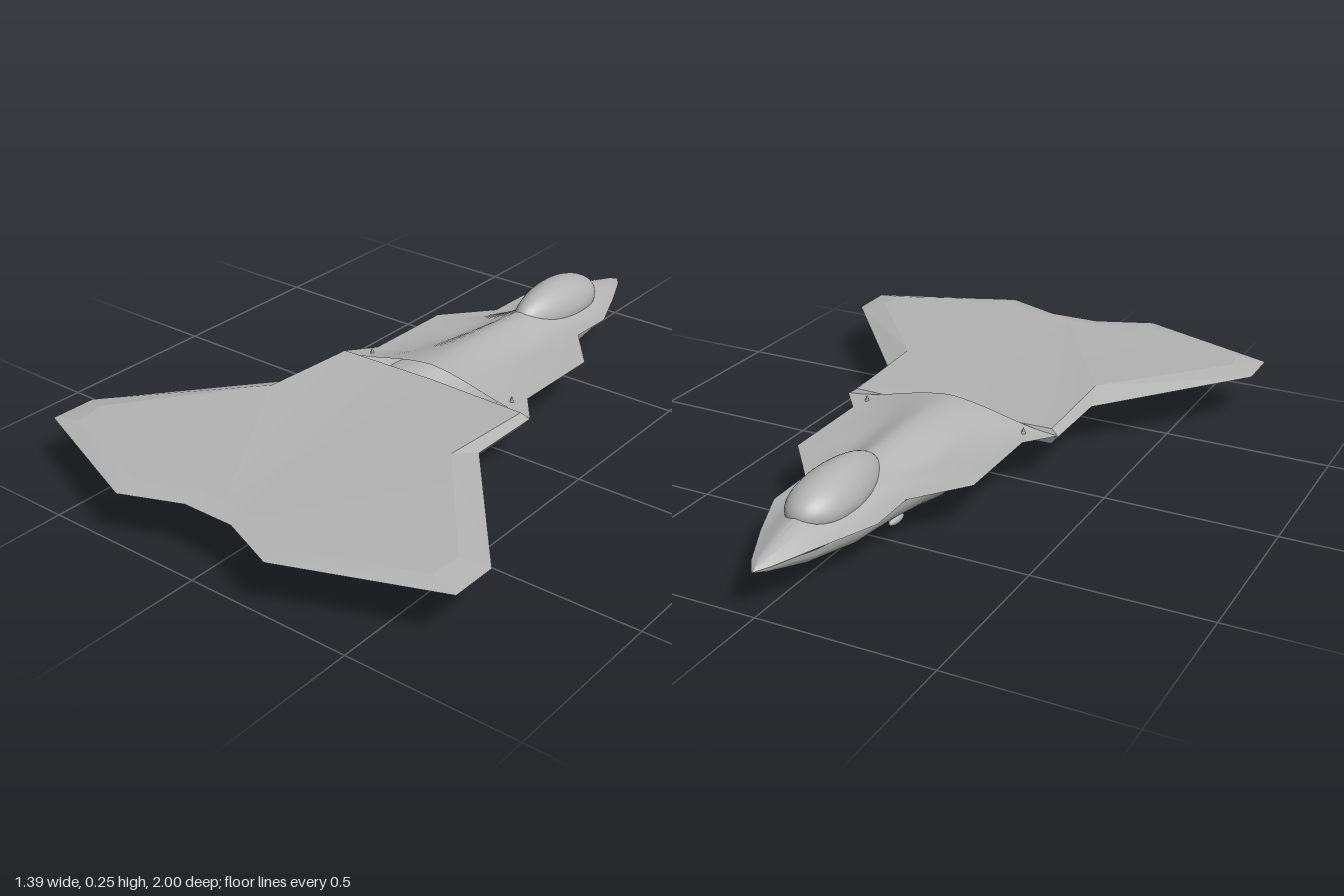
import * as THREE from 'three';
import { toCreasedNormals } from 'three/addons/utils/BufferGeometryUtils.js';

const grey = new THREE.MeshStandardMaterial({ color: 0xb2b2b2, side: THREE.DoubleSide });
grey.name = 'hull grey';

function part(name, geometry) {
  const mesh = new THREE.Mesh(geometry, grey);
  mesh.name = name;
  return mesh;
}

// Skin a list of equal-length rows of [x, y, z]
function loft(rows, crease) {
  const n = rows[0].length, index = [];
  for (let i = 0; i < rows.length - 1; i++) {
    for (let j = 0; j < n - 1; j++) {
      const a = i * n + j, b = a + 1, c = a + n, d = c + 1;
      index.push(a, c, b, b, c, d);
    }
  }
  const g = new THREE.BufferGeometry();
  g.setAttribute('position', new THREE.Float32BufferAttribute(rows.flat(2), 3));
  g.setIndex(index);
  return toCreasedNormals(g, crease);
}

// Fuselage stations: z, chine half-width, chine y, top y, hump half-width, belly half-width, bottom y
const stations = [
  [-1.0, 0.002, 0.125, 0.127, 0.004, 0.002, 0.123],
  [-0.96, 0.03, 0.128, 0.143, 0.04, 0.026, 0.108],
  [-0.83, 0.09, 0.135, 0.176, 0.11, 0.075, 0.07],
  [-0.67, 0.155, 0.14, 0.2, 0.13, 0.118, 0.044],
  [-0.52, 0.155, 0.143, 0.207, 0.12, 0.138, 0.04],
  [-0.37, 0.275, 0.147, 0.209, 0.12, 0.155, 0.018],
  [-0.28, 0.275, 0.148, 0.214, 0.14, 0.17, 0.001],
  [-0.07, 0.275, 0.15, 0.216, 0.25, 0.193, 0],
  [0.02, 0.345, 0.15, 0.21, 0.34, 0.195, 0],
];

function fuselageSection([z, w, yc, top, hump, belly, bottom]) {
  const half = [], steps = 16;
  // Upper deck: a sloping ledge plus a rounded central hump
  for (let i = 0; i <= steps; i++) {
    const u = i / steps, q = Math.min(1, (u * w) / hump);
    const bell = (Math.cos(Math.PI * q) + 1) / 2;
    half.push([u * w, yc + (top - yc) * (0.3 * (1 - u) + 0.7 * bell), z]);
  }
  // Chine underside, then the round belly
  const shoulder = yc - 0.15 * (yc - bottom);
  for (let i = 0; i <= 12; i++) {
    const a = (i / 12) * Math.PI / 2;
    half.push([belly * Math.cos(a), shoulder - (shoulder - bottom) * Math.sin(a), z]);
  }
  const mirrored = half.slice(0, -1).reverse().map(([x, y, zz]) => [-x, y, zz]);
  return [...half, ...mirrored];
}

// Half-wing plan: outer edge x, z and the inset line x, z
const wingPlan = [
  [0, 0.02, 0, 0.02],
  [0.345, 0.02, 0.32, 0.03],
  [0.345, 0.26, 0.32, 0.35],
  [0.695, 0.69, 0.62, 0.72],
  [0.695, 0.83, 0.61, 0.81],
  [0.255, 1.0, 0.25, 0.94],
  [0.08, 0.93, 0.08, 0.87],
  [0, 0.93, 0, 0.87],
];
const { lerp, smoothstep } = THREE.MathUtils;
const wingTop = (z) => z < 0.35 ? lerp(0.163, 0.179, (z - 0.02) / 0.33) : lerp(0.179, 0.166, (z - 0.35) / 0.65);
const wingBottom = (z) => z < 0.3 ? 0.117 : lerp(0.117, 0.151, (z - 0.3) / 0.7);

function halfWing(side) {
  const positions = [];
  // Add a triangle, turned so that it faces up or down
  const tri = (a, b, c, up) => {
    const ny = (b.z - a.z) * (c.x - a.x) - (b.x - a.x) * (c.z - a.z);
    const order = ny * up >= 0 ? [a, b, c] : [a, c, b];
    order.forEach((p) => positions.push(p.x, p.y, p.z));
  };
  const outer = wingPlan.map(([x, z]) => new THREE.Vector3(side * x, lerp(0.147, 0.158, smoothstep(z, 0, 1)), z));
  for (const [up, height] of [[1, wingTop], [-1, wingBottom]]) {
    const inner = wingPlan.map(([, , x, z]) => new THREE.Vector3(side * x, height(z), z));
    // Bevelled rim
    for (let i = 0; i < inner.length - 1; i++) {
      tri(outer[i], outer[i + 1], inner[i], up);
      tri(outer[i + 1], inner[i + 1], inner[i], up);
    }
    // Flat skin inside the rim
    const contour = inner.map((p) => new THREE.Vector2(p.x, p.z));
    for (const [a, b, c] of THREE.ShapeUtils.triangulateShape(contour, [])) {
      tri(inner[a], inner[b], inner[c], up);
    }
  }
  const g = new THREE.BufferGeometry();
  g.setAttribute('position', new THREE.Float32BufferAttribute(positions, 3));
  return toCreasedNormals(g, 0.12);
}

// Teardrop canopy, narrowing towards the back, with a soft ridge
function canopyGeometry() {
  const g = new THREE.SphereGeometry(1, 40, 24);
  const p = g.attributes.position;
  for (let i = 0; i < p.count; i++) {
    const x = p.getX(i), y = p.getY(i), z = p.getZ(i);
    const narrow = 1 - 0.22 * z - 0.12 * Math.max(0, y);
    p.setXYZ(i, x * 0.085 * narrow, 0.175 + y * 0.08, -0.61 + z * 0.195);
  }
  g.computeVertexNormals();
  return g;
}

export function createModel() {
  const model = new THREE.Group();
  model.name = 'aircraft';
  model.add(part('fuselage', loft(stations.map(fuselageSection), 0.6)));
  model.add(part('canopy', canopyGeometry()));

  for (const [side, label] of [[1, 'left'], [-1, 'right']]) {
    model.add(part(label + 'Wing', halfWing(side)));

    // Oval vent on the lower side of the nose
    const vent = part(label + 'Vent', new THREE.SphereGeometry(1, 20, 12));
    vent.scale.set(0.012, 0.014, 0.035);
    vent.position.set(side * 0.113, 0.068, -0.5);
    vent.rotation.z = -side * 0.7;
    model.add(vent);

    // Small nub on the rear deck
    const nub = part(label + 'DeckNub', new THREE.ConeGeometry(0.008, 0.02, 4));
    nub.position.set(side * 0.255, 0.165, -0.02);
    model.add(nub);
  }
  return model;
}
